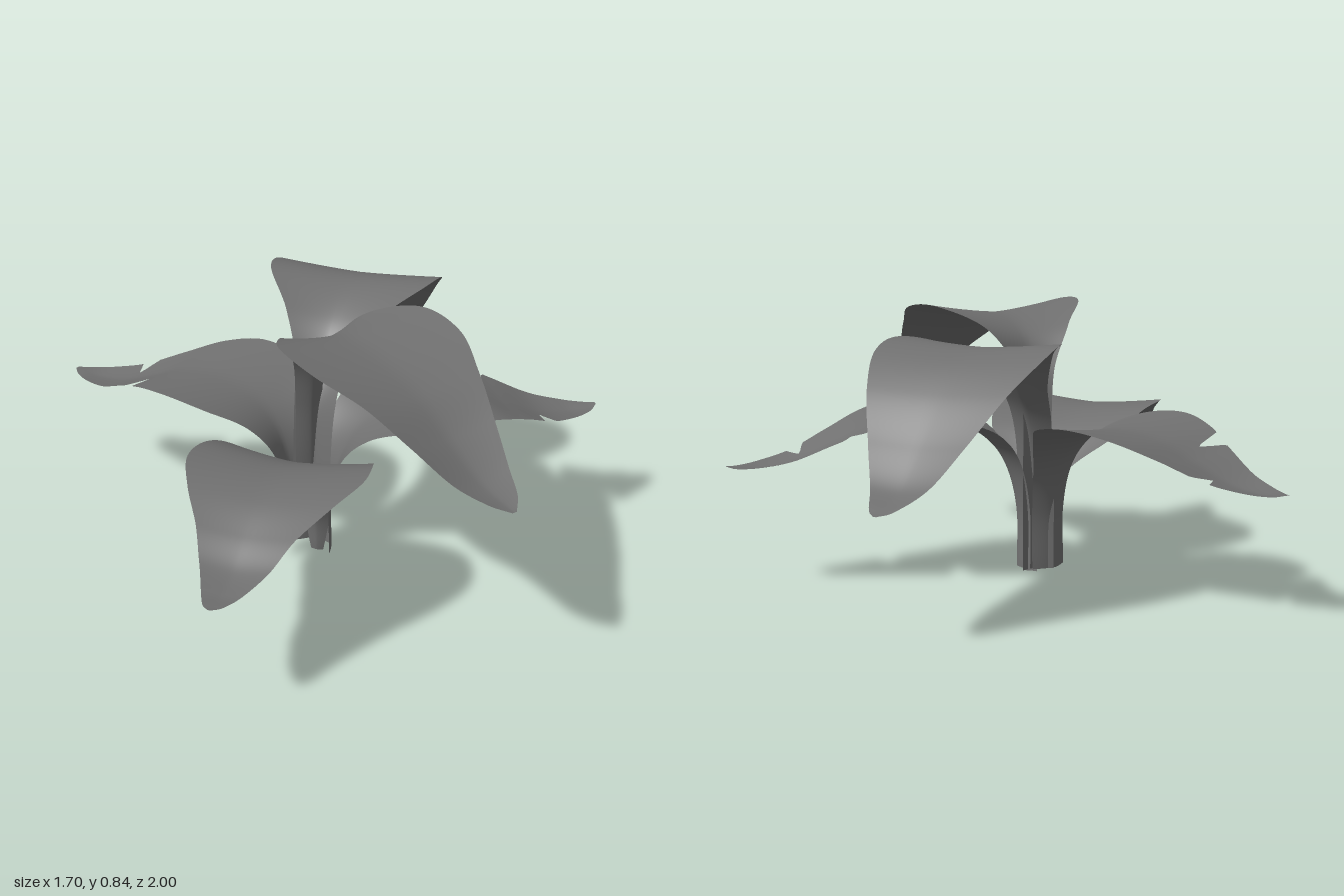
import * as THREE from 'three';

const material = new THREE.MeshStandardMaterial({ color: 0x707070, side: THREE.DoubleSide });
const ROWS = 160, COLS = 16;

// Profile rows: [distance outward, height, half width, edge lift]
const frontProfile = [
  [0.03, 0, 0.02, 0.005], [0.045, 0.13, 0.045, 0.015], [0.11, 0.29, 0.08, 0.03],
  [0.2, 0.4, 0.21, 0.03], [0.32, 0.465, 0.255, 0.03], [0.45, 0.485, 0.265, 0.025],
  [0.58, 0.47, 0.215, 0.02], [0.7, 0.42, 0.145, 0.02], [0.8, 0.365, 0.1, 0.015],
  [0.9, 0.35, 0.06, 0.005], [0.97, 0.355, 0.03, 0], [1, 0.36, 0.005, 0],
];
const backProfile = [
  [0, 0.02, 0.06, 0.02], [0, 0.25, 0.06, 0.025], [0.03, 0.47, 0.065, 0.03],
  [0.1, 0.595, 0.085, 0.03], [0.2, 0.7, 0.15, 0.03], [0.36, 0.76, 0.255, 0.02],
  [0.5, 0.74, 0.27, 0.015], [0.64, 0.65, 0.22, 0.015], [0.76, 0.52, 0.15, 0.015],
  [0.86, 0.42, 0.09, 0.01], [0.96, 0.38, 0.04, 0], [1, 0.37, 0.005, 0],
];
const upperProfile = [
  [0.03, 0.02, 0.05, 0.015], [0.03, 0.3, 0.05, 0.015], [0.03, 0.5, 0.05, 0.02],
  [0.05, 0.65, 0.07, 0.025], [0.11, 0.755, 0.145, 0.035], [0.25, 0.81, 0.255, 0.035],
  [0.42, 0.795, 0.265, 0.035], [0.57, 0.74, 0.205, 0.03], [0.7, 0.655, 0.15, 0.03],
  [0.82, 0.58, 0.1, 0.02], [0.91, 0.55, 0.055, 0.01], [0.96, 0.535, 0.008, 0],
];
const sideProfile = [
  [0, 0.02, 0.07, 0.03], [0, 0.2, 0.07, 0.03], [0.03, 0.34, 0.09, 0.035],
  [0.09, 0.43, 0.15, 0.035], [0.19, 0.485, 0.235, 0.03], [0.33, 0.505, 0.255, 0.025],
  [0.46, 0.485, 0.22, 0.02], [0.58, 0.435, 0.16, 0.02], [0.7, 0.385, 0.11, 0.015],
  [0.8, 0.365, 0.07, 0.01], [0.87, 0.365, 0.035, 0], [0.905, 0.37, 0.006, 0],
];

// Tears in the leaf edge: side of the midrib, then [distance outward, edge offset] of both lips and the notch
const tears = [
  { side: 1, near: [0.495, 0.19], notch: [0.53, 0.05], far: [0.557, 0.135] },
  { side: -1, near: [0.664, 0.13], notch: [0.68, 0.058], far: [0.71, 0.115] },
];

// Limits a sideways offset to the torn outline
function tear(lat, s, { side, near, notch, far }) {
  if (s <= near[0] || s >= far[0] || lat * side <= 0) return lat;
  const lip = s < notch[0] ? near : far;
  const k = (s - notch[0]) / (lip[0] - notch[0]);
  return side * Math.min(Math.abs(lat), notch[1] + (lip[1] - notch[1]) * k);
}

// One curved blade with its stalk, swept along a spine
function leaf(name, [ox, oz], [dirX, dirZ], profile, skew = 0, leafTears = []) {
  const len = Math.hypot(dirX, dirZ), dx = dirX / len, dz = dirZ / len;
  const curve = (f) => new THREE.CatmullRomCurve3(profile.map(f), false, 'catmullrom', 0.5);
  const spine = curve((p) => new THREE.Vector3(p[0], p[1], 0));
  const section = curve((p) => new THREE.Vector3(p[2], p[3], 0));
  const pos = [], index = [];
  for (let i = 0; i <= ROWS; i++) {
    const t = i / ROWS;
    const c = spine.getPoint(t), tan = spine.getTangent(t), w = section.getPoint(t);
    for (let j = 0; j <= COLS; j++) {
      const v = (j / COLS) * 2 - 1;
      const lat = leafTears.reduce((l, n) => tear(l, c.x, n), w.x * (v - skew));
      // edges lift along the spine normal, forming a shallow channel
      const lift = w.y * (Math.pow(Math.abs(lat / w.x + skew), 1.4) - 0.3);
      const s = c.x - tan.y * lift, y = Math.max(0, c.y + tan.x * lift);
      pos.push(ox + dx * s + dz * lat, y, oz + dz * s - dx * lat);
      if (i < ROWS && j < COLS) {
        const a = i * (COLS + 1) + j, b = a + COLS + 1;
        index.push(a, a + 1, b, a + 1, b + 1, b);
      }
    }
  }
  const geo = new THREE.BufferGeometry();
  geo.setAttribute('position', new THREE.Float32BufferAttribute(pos, 3));
  geo.setIndex(index);
  geo.computeVertexNormals();
  const mesh = new THREE.Mesh(geo, material);
  mesh.name = name;
  return mesh;
}

export function createModel() {
  const plant = new THREE.Group();
  plant.name = 'leafyPlant';
  plant.add(
    leaf('frontLeaf', [0.083, 0], [0, 1], frontProfile),
    leaf('backLeaf', [0.06, 0], [0, -1], backProfile),
    leaf('upperLeaf', [0.03, -0.03], [0.77, 0.57], upperProfile, 0.1),
    leaf('rightTornLeaf', [0.006, 0.04], [-0.85, -0.3], sideProfile, 0.15, tears),
    leaf('leftTornLeaf', [0.108, 0], [0.74, -0.53], sideProfile, 0.15, tears),
  );
  return plant;
}
